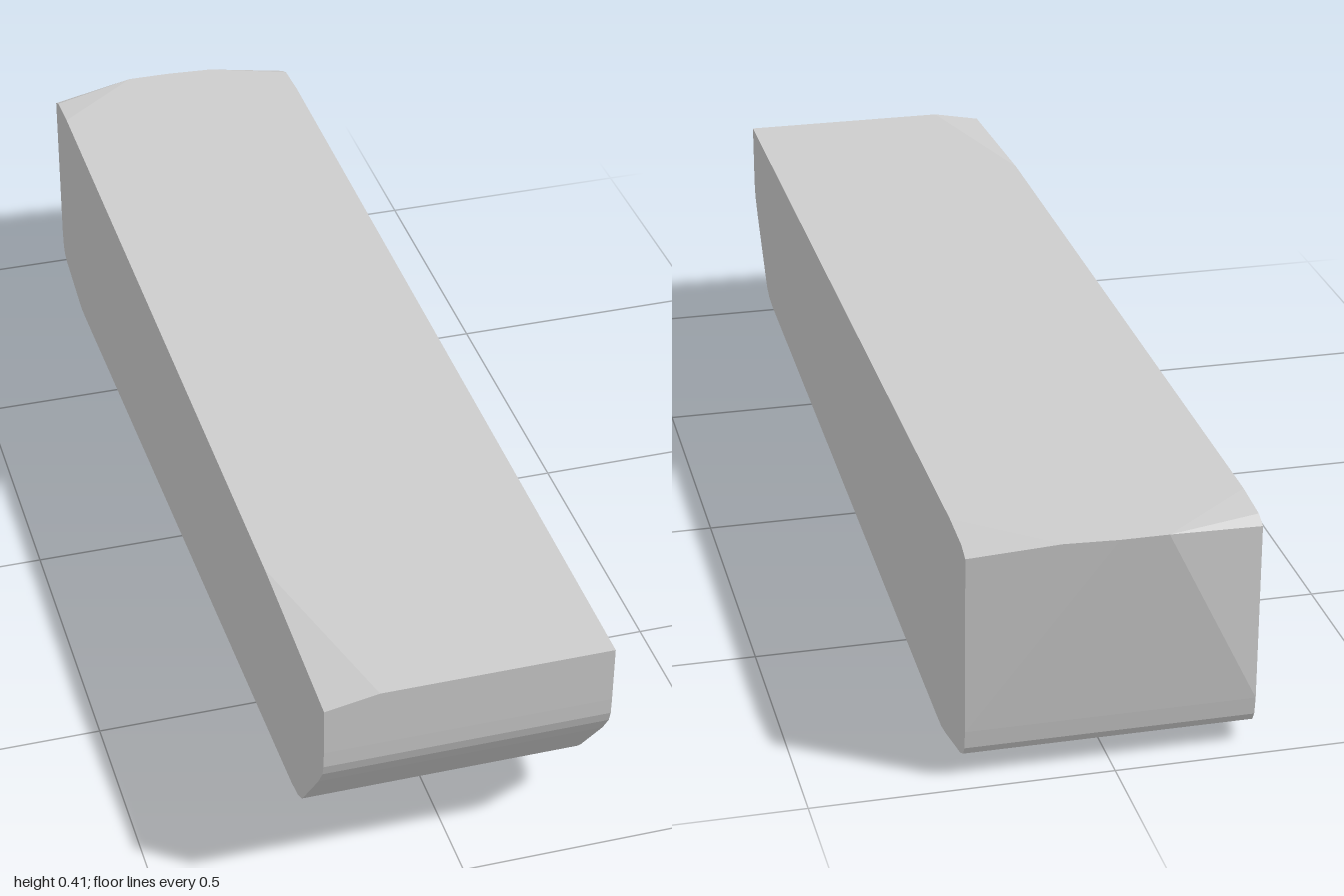
import * as THREE from 'three';
import { ConvexGeometry } from 'three/addons/geometries/ConvexGeometry.js';

export function createModel() {
  const group = new THREE.Group();
  const lightGrey = new THREE.MeshStandardMaterial({ color: 0xcccccc });
  lightGrey.name = 'lightGrey';

  // Side outline (z, y): raked front, sloping underside, rounded rear heel
  const outline = [
    [1, 0.315], [0.999, 0.285], [0.993, 0.265], [0.97, 0.23], [0.885, 0.122],
    [0.872, 0.107], [0.85, 0.096], [0.81, 0.089], [-0.76, 0.003], [-0.8, 0.002],
    [-0.83, 0.007], [-0.94, 0.033], [-0.96, 0.043], [-0.969, 0.058], [-0.973, 0.09],
  ];
  const w = 0.241, top = 0.417;
  const points = [];
  for (const x of [-w, w]) {
    for (const [z, y] of outline) points.push(new THREE.Vector3(x, y, z));
    // Rear top corners, slightly rounded down
    points.push(new THREE.Vector3(x, top, -0.87));
    points.push(new THREE.Vector3(x, 0.411, -0.95));
    points.push(new THREE.Vector3(x, 0.4, x < 0 ? -0.973 : -0.977));
  }
  // Bowed rear top edge
  for (const [x, z] of [[-0.08, -1], [0, -1], [0.09, -0.994]]) {
    points.push(new THREE.Vector3(x, top, z));
  }
  // Front top edge with one clipped corner
  points.push(
    new THREE.Vector3(w, top, 1),
    new THREE.Vector3(-0.15, top, 1),
    new THREE.Vector3(-w, 0.4, 1),
    new THREE.Vector3(-w, top, 0.65),
  );

  const body = new THREE.Mesh(new ConvexGeometry(points), lightGrey);
  body.name = 'taperedBlock';
  group.add(body);
  return group;
}
